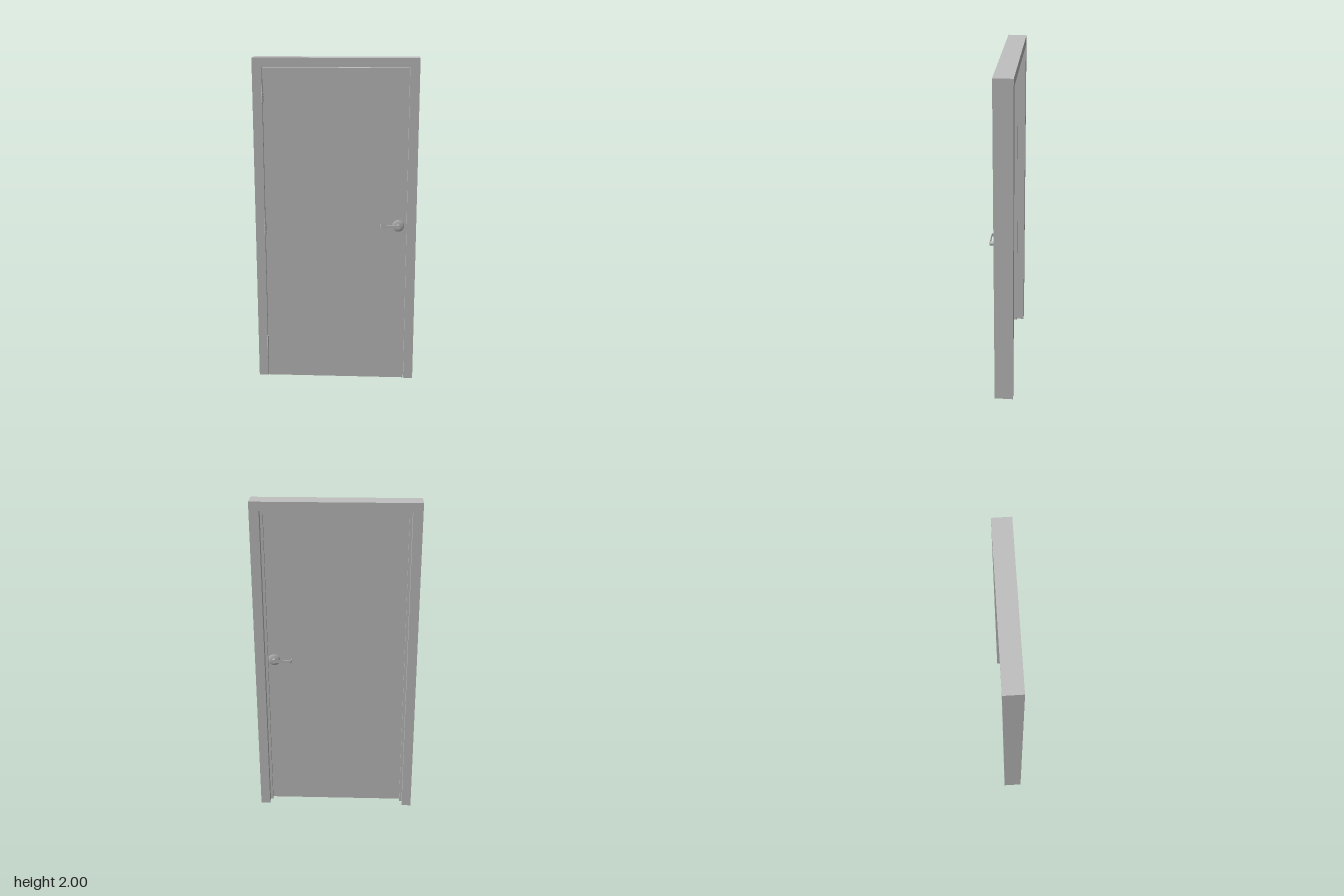
import * as THREE from 'three';

const steel = new THREE.MeshStandardMaterial({ color: 0xc0c0c0 });
steel.name = 'painted steel';
const metal = new THREE.MeshStandardMaterial({ color: 0xbcbcbc });
metal.name = 'hardware metal';

function add(parent, name, geometry, material, x = 0, y = 0, z = 0) {
  const mesh = new THREE.Mesh(geometry, material);
  mesh.name = name;
  mesh.position.set(x, y, z);
  parent.add(mesh);
  return mesh;
}

// Upside-down U (two jambs and a header) extruded from z0 to z1
function frameLayer(halfOpening, openingTop, z0, z1) {
  const s = new THREE.Shape([
    [-0.487, 0], [-halfOpening, 0], [-halfOpening, openingTop], [halfOpening, openingTop],
    [halfOpening, 0], [0.487, 0], [0.487, 2], [-0.487, 2],
  ].map(([x, y]) => new THREE.Vector2(x, y)));
  return new THREE.ExtrudeGeometry(s, { depth: z1 - z0, bevelEnabled: false }).translate(0, 0, z0);
}

// Lever handle whose base sits on z = 0 and points outwards along +z
function leverHandle(name) {
  const g = new THREE.Group();
  g.name = name;
  // Domed round rose
  const rose = [[0, 0], [0.036, 0], [0.036, 0.002], [0.03, 0.005], [0.018, 0.007], [0, 0.008]]
    .map(([r, h]) => new THREE.Vector2(r, h));
  add(g, 'rose', new THREE.LatheGeometry(rose, 32).rotateX(Math.PI / 2), metal);
  // Neck
  add(g, 'neck', new THREE.CylinderGeometry(0.011, 0.011, 0.029, 24).rotateX(Math.PI / 2), metal, 0, 0, 0.0185);
  // Flat lever with a rounded return towards the door, drawn in the x-z plane
  const s = new THREE.Shape();
  s.moveTo(0.011, -0.033);
  s.lineTo(-0.101, -0.033);
  s.quadraticCurveTo(-0.107, -0.033, -0.107, -0.027);
  s.lineTo(-0.107, -0.009);
  s.lineTo(-0.103, -0.009);
  s.lineTo(-0.103, -0.026);
  s.quadraticCurveTo(-0.103, -0.029, -0.1, -0.029);
  s.lineTo(0.011, -0.029);
  const lever = new THREE.ExtrudeGeometry(s, { depth: 0.02, bevelEnabled: false, curveSegments: 6 });
  add(g, 'lever', lever.translate(0, 0, -0.01).rotateX(-Math.PI / 2).scale(1, 1, 1), metal, 0, 0.002, 0);
  // The shape's negative y becomes +z after the rotation
  return g;
}

export function createModel() {
  const model = new THREE.Group();
  model.name = 'door';

  // Frame: two rabbets with a narrower stop between them
  const frame = new THREE.Group();
  frame.name = 'frame';
  model.add(frame);
  add(frame, 'frontRabbet', frameLayer(0.43, 1.948, -0.008, 0.038), steel);
  add(frame, 'stop', frameLayer(0.415, 1.933, -0.027, -0.008), steel);
  add(frame, 'backRabbet', frameLayer(0.43, 1.948, -0.073, -0.027), steel);

  // Door leaf
  add(model, 'doorLeaf', new THREE.BoxGeometry(0.853, 1.941, 0.042), steel, 0, 0.9735, 0.017);

  // Hinges: five knuckles with tips, plus a leaf plate in the gap
  for (const y of [0.225, 0.985, 1.79]) {
    const hinge = new THREE.Group();
    hinge.name = 'hinge';
    hinge.position.set(-0.4285, y, 0.039);
    model.add(hinge);
    for (let i = -2; i <= 2; i++) {
      add(hinge, 'knuckle', new THREE.CylinderGeometry(0.006, 0.006, 0.0172, 16), metal, 0, i * 0.0178, 0);
    }
    add(hinge, 'pin', new THREE.CylinderGeometry(0.0045, 0.0045, 0.095, 12), metal);
    add(hinge, 'leafPlate', new THREE.BoxGeometry(0.003, 0.088, 0.036), metal, 0, 0, -0.02);
  }

  // Lever handles on both faces, both pointing to the hinge side
  const front = leverHandle('frontHandle');
  front.position.set(0.379, 1.003, 0.038);
  model.add(front);
  const back = leverHandle('backHandle');
  back.position.set(0.379, 1.003, -0.004);
  back.scale.z = -1;
  model.add(back);

  // Latch plate on the door edge
  add(model, 'latchPlate', new THREE.BoxGeometry(0.002, 0.055, 0.026), metal, 0.4275, 1.003, 0.017);

  return model;
}
